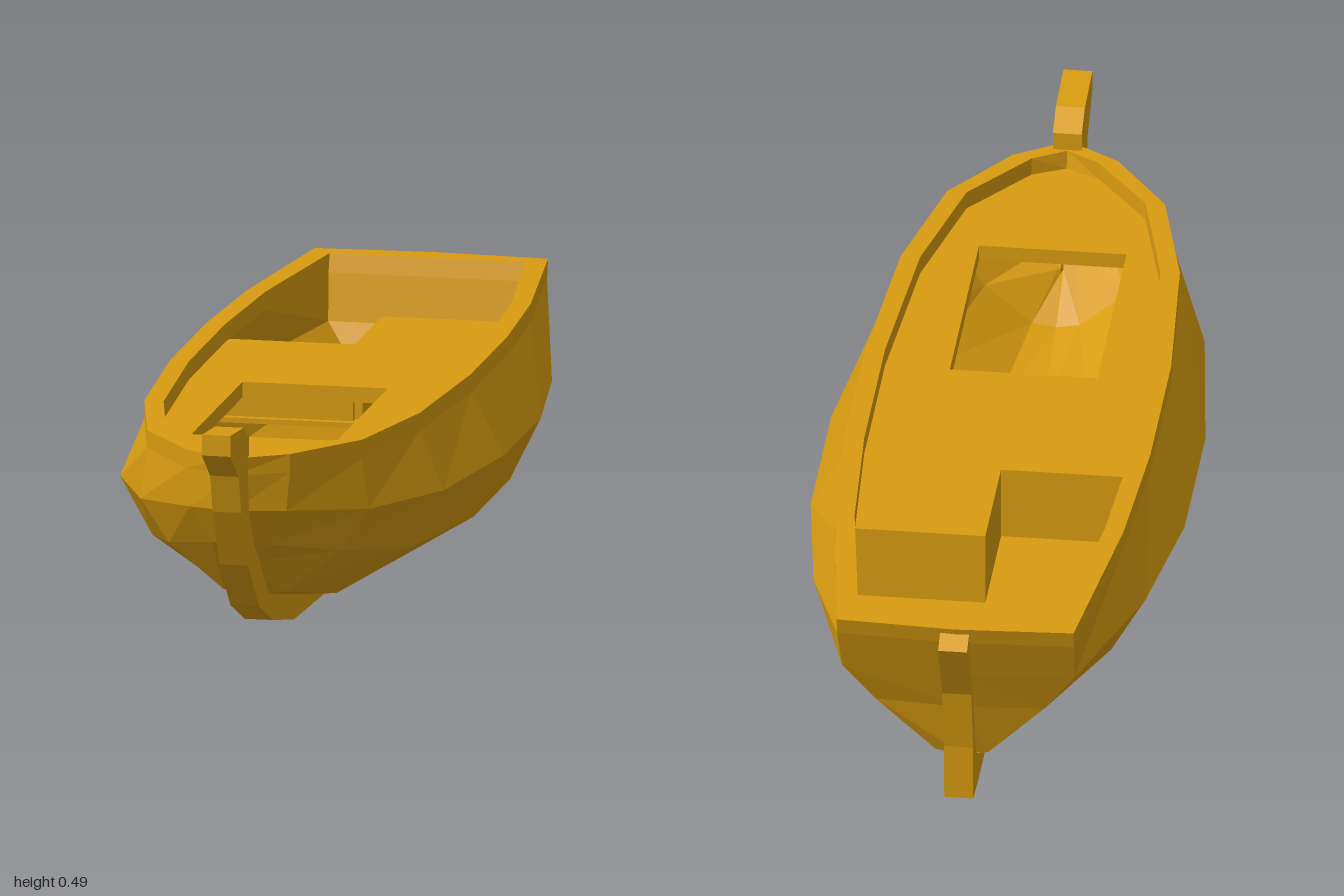
import * as THREE from 'three';

// Half sections from stern to bow: rim, band, chine, lower chine, bottom as [x, y, z]
const rim = (x, z, zb = z) => [[x, 0.415, z], [x, 0.38, zb]];
const STATIONS = [
  [...rim(0.225, -0.96, -0.95), [0.22, 0.29, -0.915], [0.16, 0.2, -0.88], [0.05, 0.08, -0.85]],
  [...rim(0.274, -0.57), [0.315, 0.268, -0.57], [0.25, 0.155, -0.57], [0.1, 0.06, -0.57]],
  [...rim(0.29, -0.28), [0.355, 0.262, -0.28], [0.295, 0.14, -0.28], [0.12, 0.05, -0.28]],
  [...rim(0.29, 0.05), [0.355, 0.262, 0.05], [0.295, 0.14, 0.05], [0.12, 0.05, 0.05]],
  [...rim(0.265, 0.4), [0.312, 0.268, 0.4], [0.25, 0.157, 0.4], [0.105, 0.06, 0.4]],
  [...rim(0.207, 0.65), [0.22, 0.282, 0.65], [0.165, 0.2, 0.65], [0.06, 0.115, 0.65]],
  [...rim(0.1, 0.8), [0.093, 0.305, 0.8], [0.055, 0.232, 0.77], [0.02, 0.19, 0.735]],
  [...rim(0, 0.862, 0.855), [0, 0.31, 0.845], [0, 0.24, 0.8], [0, 0.195, 0.755]],
];
const LAST = STATIONS.length - 1;

// Inner face of the planking
const INNER = STATIONS.map((s, i) => s.map(([x, y, z], j) => [
  Math.max(0, x - [0.037, 0.037, 0.035, 0.03, 0.015][j]),
  y + [0, 0, 0, 0.015, 0.025][j],
  z + (i === 0 ? (j < 2 ? 0.037 : 0.02) : i === LAST ? -0.035 : i === LAST - 1 ? -0.01 : 0),
]));

// Whole section from left rim under the keel to the right rim
function fullSection(half, drop) {
  const [, y, z] = half[half.length - 1];
  return [...half, [0, y - drop, z], ...half.map(([x, py, pz]) => [-x, py, pz]).reverse()];
}

// Quads between successive rows of points
function loft(rows, flip = false) {
  const pos = [];
  for (let i = 0; i < rows.length - 1; i++) {
    for (let j = 0; j < rows[i].length - 1; j++) {
      const a = rows[i][j], b = rows[i][j + 1], c = rows[i + 1][j + 1], d = rows[i + 1][j];
      const tris = flip ? [a, c, b, a, d, c] : [a, b, c, a, c, d];
      tris.forEach((p) => pos.push(...p));
    }
  }
  const g = new THREE.BufferGeometry();
  g.setAttribute('position', new THREE.Float32BufferAttribute(pos, 3));
  g.computeVertexNormals();
  return g;
}

const toShape = (pts) => new THREE.Shape(pts.map(([x, y]) => new THREE.Vector2(x, y)));
const extrude = (shape, depth) => new THREE.ExtrudeGeometry(shape, { depth, bevelEnabled: false });

// Horizontal slab from [x, z] points, with its top at the given height
function slab(shape, top, depth) {
  return extrude(shape, depth).rotateX(Math.PI / 2).translate(0, top, 0);
}

export function createModel() {
  const group = new THREE.Group();
  const wood = new THREE.MeshStandardMaterial({ color: 0xd89c10, flatShading: true, side: THREE.DoubleSide });
  wood.name = 'golden wood';
  const add = (name, geometry) => {
    const m = new THREE.Mesh(geometry, wood);
    m.name = name;
    group.add(m);
    return m;
  };

  // Planked shell, outside and inside
  add('hullOutside', loft(STATIONS.map((s) => fullSection(s, 0.008)), true));
  add('hullInside', loft(INNER.map((s) => fullSection(s, 0.008))));

  // Transom with a slightly bowed centre line
  const transomRows = (half, bow) => half.map(([x, y, z]) => [[x, y, z], [0, y, z - bow], [-x, y, z]]);
  add('transomOutside', loft(transomRows(STATIONS[0], 0.012), true));
  add('transomInside', loft(transomRows(INNER[0], 0)));

  // Flat top of the gunwale
  for (const side of [1, -1]) {
    const edge = (s) => [s[0][0] * side, s[0][1], s[0][2]];
    add(side > 0 ? 'leftGunwale' : 'rightGunwale',
      loft(STATIONS.map((s, i) => [edge(s), edge(INNER[i])]), side < 0));
  }
  const [o, n] = [STATIONS[0][0], INNER[0][0]];
  add('sternGunwale', loft([
    [o, [0, o[1], o[2] - 0.012], [-o[0], o[1], o[2]]],
    [n, [0, n[1], n[2]], [-n[0], n[1], n[2]]],
  ], true));

  // Deck with a stepped after edge and a hatch opening
  const deckSide = INNER.slice(2, LAST).map((s) => [s[1][0] + 0.006, s[1][2]]);
  const deck = toShape([
    [-0.01, -0.31], [-0.01, -0.56], [0.243, -0.56],
    ...deckSide, [0, 0.835],
    ...deckSide.slice(1).map(([x, z]) => [-x, z]).reverse(),
    [-0.258, -0.28], [-0.257, -0.31],
  ]);
  deck.holes.push(new THREE.Path([[-0.15, 0.05], [-0.15, 0.515], [0.13, 0.515], [0.13, 0.05]]
    .map(([x, z]) => new THREE.Vector2(x, z))));
  add('deck', slab(deck, 0.38, 0.03));

  // Sunken cockpit floor and the bulkheads around it
  const floor = [[0.15, -0.875], [0.265, -0.57], [0.305, -0.28]];
  add('cockpitFloor', slab(toShape([...floor, ...floor.map(([x, z]) => [-x, z]).reverse()]), 0.235, 0.01));
  add('rightBulkhead', extrude(toShape([
    [-0.01, 0.23], [-0.305, 0.23], [-0.325, 0.262], [-0.262, 0.375], [-0.01, 0.375],
  ]), 0.015).translate(0, 0, -0.31));
  add('leftBulkhead', extrude(toShape([
    [-0.01, 0.23], [0.265, 0.23], [0.288, 0.268], [0.245, 0.375], [-0.01, 0.375],
  ]), 0.015).translate(0, 0, -0.56));
  add('centreBulkhead', new THREE.BoxGeometry(0.015, 0.145, 0.25)).position.set(-0.0025, 0.3025, -0.435);

  // Stem, keel and sternpost in one piece, drawn as [z, y]
  const keel = toShape([
    [1, 0.49], [1, 0.45], [0.925, 0.395], [0.9, 0.32], [0.84, 0.205], [0.74, 0.105], [0.61, 0.05],
    [0.42, 0.01], [0.16, 0], [-0.82, 0], [-0.9, 0.006], [-0.905, 0.12], [-0.93, 0.25], [-1, 0.383],
    [-0.965, 0.405], [-0.945, 0.38], [-0.9, 0.29], [-0.872, 0.2], [-0.84, 0.085],
    [-0.57, 0.06], [0.05, 0.05], [0.4, 0.06], [0.65, 0.118], [0.735, 0.195], [0.785, 0.24],
    [0.825, 0.31], [0.83, 0.38], [0.83, 0.45], [0.88, 0.48],
  ]);
  add('stemAndKeel', extrude(keel, 0.055).translate(0, 0, -0.0275).rotateY(-Math.PI / 2));

  return group;
}
